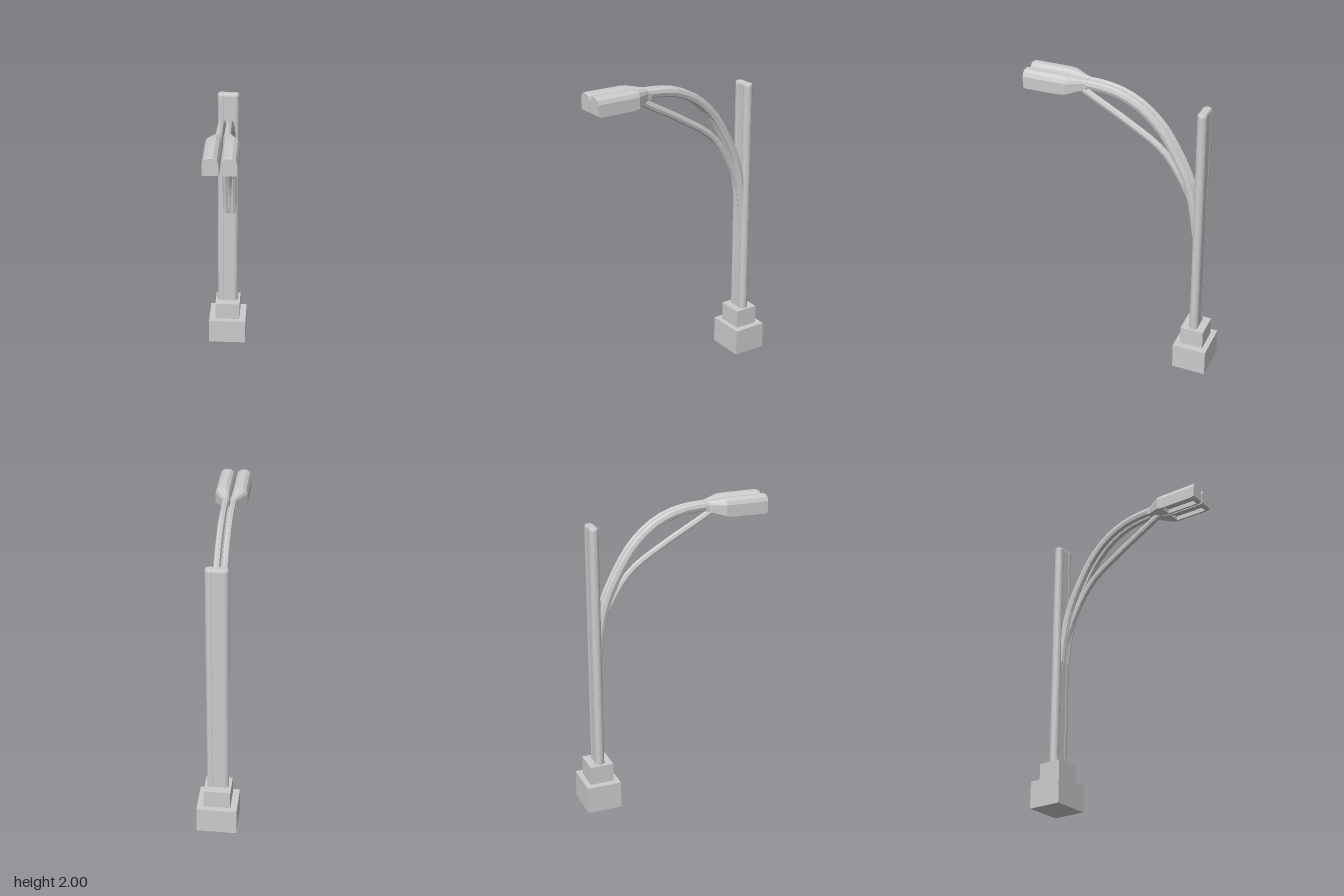
import * as THREE from 'three';

const grey = new THREE.MeshStandardMaterial({ color: 0xcccccc, flatShading: true, side: THREE.DoubleSide });

function add(parent, name, geometry, x = 0, y = 0, z = 0) {
  const mesh = new THREE.Mesh(geometry, grey);
  mesh.name = name;
  mesh.position.set(x, y, z);
  parent.add(mesh);
  return mesh;
}

// Twin-lobed pole section, rounded off at the top
function poleGeometry() {
  const r = 0.03, cx = 0.041, bevel = 0.012, a = Math.PI * 0.68;
  const shape = new THREE.Shape();
  shape.absarc(cx, 0, r - bevel, -a, a, false);
  shape.absarc(-cx, 0, r - bevel, Math.PI - a, Math.PI + a, false);
  shape.closePath();
  const geo = new THREE.ExtrudeGeometry(shape, {
    depth: 1.6, curveSegments: 8, bevelSize: bevel, bevelThickness: 0.015, bevelSegments: 2,
  });
  return geo.rotateX(-Math.PI / 2);
}

// Curved arm in the y-z plane, flattened sideways
function armGeometry(points, radius, flatten) {
  const curve = new THREE.CatmullRomCurve3(points.map(([z, y]) => new THREE.Vector3(0, y, z)));
  return new THREE.TubeGeometry(curve, 18, radius, 8, false).scale(flatten, 1, 1);
}

// Lamp housing lofted along z: neck, flare, body with a recessed underside, closed end
function lampGeometry(side) {
  // z, centre x, half width, bottom y, top y, recess depth
  const sections = [
    [0.745, 0.025, 0.022, 1.918, 1.978, 0],
    [0.765, 0.025, 0.023, 1.916, 1.979, 0],
    [0.86, 0.053, 0.049, 1.893, 1.997, 0],
    [0.895, 0.053, 0.049, 1.885, 2, 0],
    [0.895, 0.053, 0.049, 1.885, 2, 0.03],
    [1.115, 0.053, 0.049, 1.882, 2, 0.03],
    [1.115, 0.053, 0.049, 1.882, 2, 0],
    [1.132, 0.053, 0.049, 1.883, 2, 0],
    [1.146, 0.053, 0.048, 1.89, 1.997, 0],
  ];
  const outline = [
    [1, 0], [1, 0.66], [0.78, 0.88], [0.36, 1], [-0.36, 1], [-0.78, 0.88], [-1, 0.66], [-1, 0],
  ];
  const pos = [], index = [], n = outline.length + 4;
  for (const [z, cx, hw, y0, y1, depth] of sections) {
    for (const [u, v] of outline) pos.push(side * cx + u * hw, y0 + v * (y1 - y0), z);
    for (const [u, d] of [[-0.72, 0], [-0.72, 1], [0.72, 1], [0.72, 0]]) {
      pos.push(side * cx + u * hw, y0 + d * depth, z);
    }
  }
  for (let s = 0; s < sections.length - 1; s++) {
    for (let i = 0; i < n; i++) {
      const a = s * n + i, b = s * n + (i + 1) % n;
      index.push(a, b, b + n, a, b + n, a + n);
    }
  }
  // End caps
  const last = (sections.length - 1) * n;
  for (let i = 1; i < outline.length - 1; i++) {
    index.push(0, i + 1, i, last, last + i, last + i + 1);
  }
  const geo = new THREE.BufferGeometry();
  geo.setAttribute('position', new THREE.Float32BufferAttribute(pos, 3));
  geo.setIndex(index);
  geo.computeVertexNormals();
  return geo;
}

export function createModel() {
  const model = new THREE.Group();
  model.name = 'streetLamp';

  // Everything is built around the pole, then turned slightly
  const lamp = new THREE.Group();
  lamp.name = 'lampAssembly';
  lamp.position.set(-0.027, 0, -0.512);
  lamp.rotation.y = 0.063;
  model.add(lamp);

  // Stepped foundation and pole
  add(lamp, 'basePlinth', new THREE.BoxGeometry(0.26, 0.18, 0.228), 0, 0.09, 0);
  add(lamp, 'upperPlinth', new THREE.BoxGeometry(0.173, 0.125, 0.157), 0, 0.2425, 0);
  add(lamp, 'pole', poleGeometry(), 0, 0.285, 0);

  // Twin arms, lower brace and lamp heads
  const head = new THREE.Group();
  head.name = 'armsAndHeads';
  head.position.x = 0.01;
  lamp.add(head);

  const upper = [[0.012, 1.03], [0.035, 1.2], [0.082, 1.4], [0.159, 1.565], [0.262, 1.73],
    [0.397, 1.855], [0.532, 1.92], [0.65, 1.943], [0.76, 1.948]];
  const lower = [[0.012, 1.03], [0.04, 1.2], [0.112, 1.37], [0.252, 1.575], [0.492, 1.735],
    [0.7, 1.85], [0.84, 1.93]];
  for (const [side, label] of [[1, 'left'], [-1, 'right']]) {
    add(head, label + 'Arm', armGeometry(upper, 0.03, 0.75), side * 0.025);
    add(head, label + 'LampHead', lampGeometry(side));
  }
  add(head, 'lowerBrace', armGeometry(lower, 0.024, 0.85));

  return model;
}
